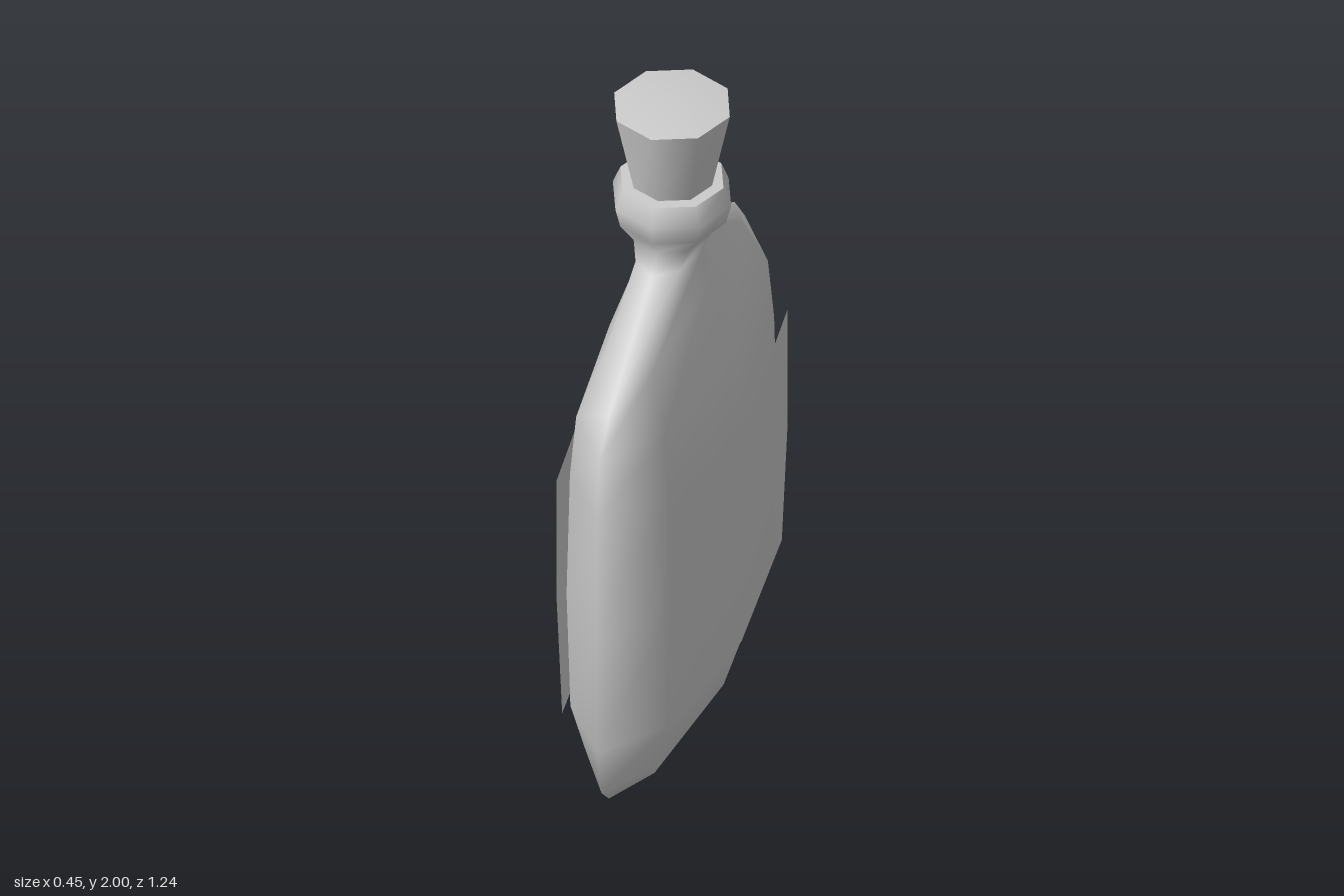
import * as THREE from 'three';

const SIDES = 8;
const grey = new THREE.MeshStandardMaterial({ color: 0xcccccc, side: THREE.DoubleSide });

// A ring is [y at the faces, half width x, half depth z, optional y at the narrow edges].
function ringPoints([y, rx, rz, yEdge = y]) {
  return Array.from({ length: SIDES }, (_, i) => {
    const a = (i / SIDES) * Math.PI * 2;
    const s = Math.sin(a);
    return [Math.cos(a) * rx, y + (yEdge - y) * s * s, s * rz];
  });
}

function makeGeometry(points, index) {
  const geometry = new THREE.BufferGeometry();
  geometry.setAttribute('position', new THREE.Float32BufferAttribute(points.flat(), 3));
  geometry.setIndex(index);
  geometry.computeVertexNormals();
  return geometry;
}

// Smooth wall through a stack of rings
function wall(rings) {
  const index = [];
  for (let r = 0; r < rings.length - 1; r++) {
    for (let i = 0; i < SIDES; i++) {
      const a = r * SIDES + i;
      const b = r * SIDES + ((i + 1) % SIDES);
      index.push(a, a + SIDES, b, b, a + SIDES, b + SIDES);
    }
  }
  return makeGeometry(rings.flatMap(ringPoints), index);
}

// Cap closing one ring, with its own normals so the rim stays sharp
function cap(ring, centreY, up) {
  const index = [];
  for (let i = 0; i < SIDES; i++) {
    const j = (i + 1) % SIDES;
    index.push(SIDES, up ? j : i, up ? i : j);
  }
  return makeGeometry([...ringPoints(ring), [0, centreY, 0]], index);
}

function addMesh(parent, name, geometry) {
  const mesh = new THREE.Mesh(geometry, grey);
  mesh.name = name;
  parent.add(mesh);
}

// Label sheet folded around one broad face; side is +1 or -1
function labelSheet(side) {
  const rows = [[0.22, 0.2, 0.15], [0.6, 0.225, 0.166], [1.0, 0.225, 0.166]];
  const points = rows.flatMap(([y, xMid, xEnd]) =>
    [-1, 0, 1].map((k) => [side * (k ? xEnd : xMid), y, side * k * 0.47]));
  const index = [];
  for (let r = 0; r < 2; r++) {
    for (let c = 0; c < 2; c++) {
      const a = r * 3 + c;
      index.push(a, a + 3, a + 1, a + 1, a + 3, a + 4);
    }
  }
  return makeGeometry(points, index);
}

export function createModel() {
  const model = new THREE.Group();
  model.name = 'bottle';

  // Flat flask body, shoulders, neck and rounded lip
  const glass = [
    [0, 0.11, 0.515],
    [0.06, 0.148, 0.575],
    [0.22, 0.198, 0.61],
    [0.6, 0.21, 0.62],
    [1.0, 0.2, 0.61],
    [1.19, 0.18, 0.595],
    [1.41, 0.105, 0.51, 1.295],
    [1.52, 0.09, 0.165, 1.515],
    [1.57, 0.11, 0.13],
    [1.62, 0.155, 0.157],
    [1.68, 0.17, 0.17],
    [1.735, 0.148, 0.148],
  ];
  const body = new THREE.Group();
  body.name = 'body';
  model.add(body);
  addMesh(body, 'bodyWall', wall(glass));
  addMesh(body, 'bodyBase', cap(glass[0], 0, false));
  addMesh(body, 'lipTop', cap(glass[glass.length - 1], 1.74, true));

  // Tapered stopper with a slightly domed top
  const plug = [[1.735, 0.115, 0.115], [1.98, 0.166, 0.17]];
  const stopper = new THREE.Group();
  stopper.name = 'stopper';
  model.add(stopper);
  addMesh(stopper, 'stopperWall', wall(plug));
  addMesh(stopper, 'stopperTop', cap(plug[1], 2.0, true));

  // Plain labels on both broad faces
  addMesh(model, 'leftLabel', labelSheet(1));
  addMesh(model, 'rightLabel', labelSheet(-1));

  return model;
}
